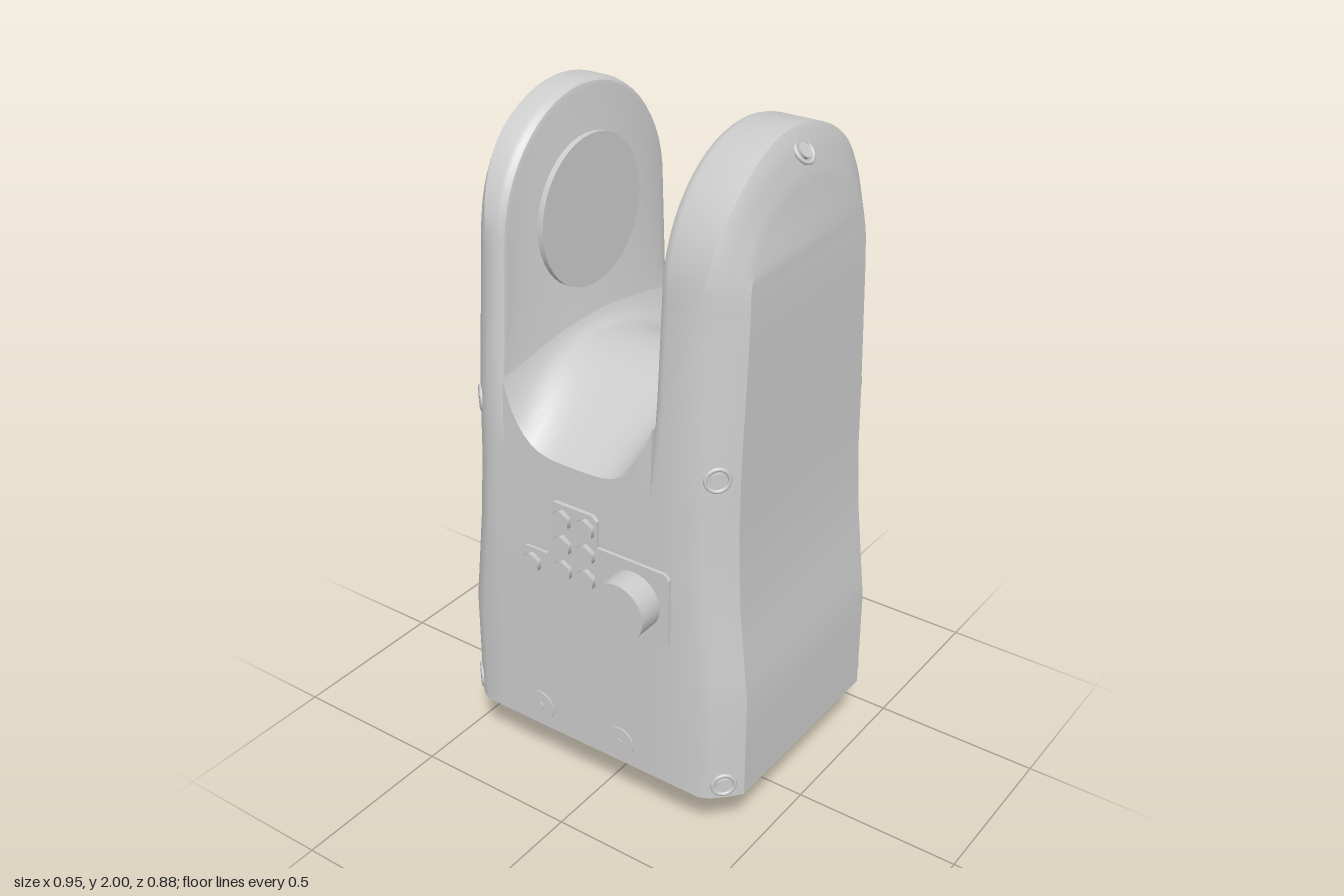
import * as THREE from 'three';
import { toCreasedNormals } from 'three/addons/utils/BufferGeometryUtils.js';

const MAT = new THREE.MeshStandardMaterial({ color: 0xcccccc, side: THREE.DoubleSide });
const ZC = -0.04, BASE = 0.185, SPRING = 1.63;
const { lerp, smoothstep, clamp } = THREE.MathUtils;

// Piecewise-linear lookup in [key, value] pairs
function sample(table, k) {
  for (let i = 1; i < table.length; i++) {
    const [a, va] = table[i - 1], [b, vb] = table[i];
    if (k <= b) return lerp(va, vb, clamp((k - a) / (b - a), 0, 1));
  }
  return table[table.length - 1][1];
}

// Half width, and depth in front of and behind the centre line, by height
const WIDTH = [[0.18, 0.475], [0.5, 0.475], [0.6, 0.464], [0.8, 0.442], [1, 0.431], [1.6, 0.425], [1.8, 0.413], [2, 0.405]];
const FRONT = [[0.18, 0.4], [0.8, 0.395], [1.2, 0.385], [1.63, 0.352]];
const BACK = [[0.18, 0.4], [0.8, 0.397], [1.2, 0.39], [1.63, 0.373]];
const LOWER = [BASE, 0.22, 0.35, 0.5, 0.56, 0.62, 0.7, 0.8, 0.9, 1, 1.08];
const RISE = 6, ARCH = 14, UPPER = RISE + ARCH;

// Slot between the arms
const SLOT_X = -0.035, SLOT_H = 0.245;

// One front or back half of a section, from the underside to the crown
function halfSection(dir, inset, xAt, slot, upperOnly) {
  const depth = dir > 0 ? FRONT : BACK, pts = [];
  const ins = y => upperOnly ? inset * smoothstep(y, 1.08, 1.35) : inset;
  const add = (y, d) => pts.push([xAt(y), y, ZC + dir * d]);
  add(BASE, sample(depth, BASE) - ins(BASE) - 0.08);
  LOWER.forEach((y, i) => {
    // Cable notch in the lower rear edge
    const x = xAt(y), notch = slot && dir < 0 && i < 2 && x > -0.27 && x < -0.1 ? 0.045 : 0;
    add(y + notch, sample(depth, y) - ins(y));
  });
  if (slot) {
    const q = Math.abs(xAt(1) - SLOT_X) / SLOT_H;
    const edge = 1.09 + 0.19 * q ** 4;
    const crest = 1.29 + 0.04 * Math.max(0, (q - 0.85) / 0.15) ** 2;
    const f = sample(FRONT, edge), b = -sample(BACK, edge);
    for (let j = 0; j < UPPER; j++) {
      const u = j / (2 * UPPER - 1);
      add(lerp(edge, crest, Math.sin(Math.PI * u)), dir * lerp(f, b, dir > 0 ? u : 1 - u));
    }
  } else {
    for (let j = 1; j <= RISE; j++) {
      const y = lerp(1.08, SPRING, j / RISE);
      add(y, sample(depth, y) - ins(y));
    }
    const topInset = inset * (upperOnly ? 1 : 1.6);
    for (let j = 1; j <= ARCH; j++) {
      const a = (j / ARCH) * 1.54;
      add(SPRING + (0.37 - topInset) * Math.sin(a), (sample(depth, SPRING) - inset) * Math.cos(a));
    }
  }
  return pts;
}

function section(inset, xAt, slot = false, upperOnly = false) {
  return [...halfSection(1, inset, xAt, slot, upperOnly), ...halfSection(-1, inset, xAt, slot, upperOnly).reverse()];
}

// Forked housing: side-profile sections lofted from one flank to the other
function housingGeometry() {
  const arm = (s, innerX) => [
    ...[[0, 0.085], [0.018, 0.062], [0.04, 0.038], [0.065, 0.015], [0.095, 0]].map(([off, inset]) =>
      section(inset, y => s * (sample(WIDTH, y) - off * (1 - 0.6 * smoothstep(y, 1.55, 1.95))))),
    ...[[0.028, 0], [0.014, 0.004], [0.004, 0.012], [0, 0.025]].map(([off, inset]) =>
      section(inset, () => innerX + s * off, false, true)),
  ];
  const slots = [];
  for (let k = 0; k <= 24; k++) {
    const x = SLOT_X - SLOT_H * Math.cos(Math.PI * k / 24);
    slots.push(section(0, () => x, true));
  }
  const rings = [...arm(-1, SLOT_X - SLOT_H), ...slots, ...arm(1, SLOT_X + SLOT_H).reverse()];
  const n = rings[0].length, last = (rings.length - 1) * n, index = [];
  for (let j = 0; j < rings.length - 1; j++) {
    for (let i = 0; i < n; i++) {
      const a = j * n + i, d = j * n + (i + 1) % n, b = a + n, c = d + n;
      index.push(a, b, c, a, c, d);
    }
  }
  // Flat flanks
  for (let i = 1; i < n / 2 - 1; i++) {
    const f = i, g = i + 1, b = n - 1 - i, c = n - 2 - i;
    index.push(f, g, c, f, c, b);
    index.push(last + f, last + c, last + g, last + f, last + b, last + c);
  }
  const geo = new THREE.BufferGeometry();
  geo.setAttribute('position', new THREE.Float32BufferAttribute(rings.flat(2), 3));
  geo.setIndex(index);
  return toCreasedNormals(geo, 0.55);
}

export function createModel() {
  const model = new THREE.Group();
  const add = (name, geo, x = 0, y = 0, z = 0, parent = model) => {
    const m = new THREE.Mesh(geo, MAT);
    m.name = name;
    m.position.set(x, y, z);
    parent.add(m);
    return m;
  };
  // Cylinders lying along x or z
  const discX = (r, x0, x1) => new THREE.CylinderGeometry(r, r, x1 - x0, 40).rotateZ(Math.PI / 2).translate((x0 + x1) / 2, 0, 0);
  const discZ = (r, z0, z1, sides = 32) => new THREE.CylinderGeometry(r, r, z1 - z0, sides).rotateX(Math.PI / 2).translate(0, 0, (z0 + z1) / 2);

  add('housing', housingGeometry());

  // Base pivot and flange
  add('basePivot', new THREE.CylinderGeometry(0.195, 0.195, 0.19, 40), -0.035, 0.095, ZC);
  add('baseFlange', new THREE.CylinderGeometry(0.32, 0.31, 0.02, 48), -0.035, 0.178, ZC);
  add('baseFlangeStep', new THREE.CylinderGeometry(0.29, 0.28, 0.012, 48), -0.035, 0.165, ZC);

  // Pivot pads on the inner faces of the arms
  add('rightArmPad', discX(0.215, -0.3, -0.263), 0, 1.64, -0.045);
  add('leftArmPad', discX(0.255, 0.195, 0.23), 0, 1.64, -0.045);
  add('armAxle', discX(0.117, 0.12, 0.22), 0, 1.64, -0.045);

  // Control panel
  const outline = new THREE.Shape([[-0.22, 0.73], [-0.205, 0.715], [0.045, 0.715], [0.045, 0.66], [0.06, 0.645], [0.265, 0.645],
    [0.28, 0.66], [0.28, 0.865], [0.265, 0.88], [0.045, 0.88], [0.045, 0.96], [0.03, 0.975], [-0.1, 0.975],
    [-0.115, 0.96], [-0.115, 0.815], [-0.13, 0.8], [-0.205, 0.8], [-0.22, 0.785]].map(p => new THREE.Vector2(...p)));
  add('controlPanel', new THREE.ExtrudeGeometry(outline, { depth: 0.025, bevelEnabled: false }), 0, 0, 0.338);
  const keys = [[-0.18, 0.755]];
  for (const y of [0.77, 0.85, 0.93]) keys.push([-0.07, y], [0.01, y]);
  keys.forEach(([x, y]) => add('hexButton', discZ(0.031, 0.345, 0.377, 6), x, y));
  add('controlKnob', discZ(0.086, 0.345, 0.44), 0.165, 0.765);

  // Flush plugs low on the front
  for (const x of [-0.175, 0.11]) {
    add('frontPlug', discZ(0.047, 0.345, 0.363), x, 0.255);
    add('frontPlugPin', discZ(0.012, 0.35, 0.366, 16), x, 0.255);
  }

  // Screws on the chamfers and rear latch tabs, mirrored
  const screws = [
    [0.389, 1.18, 0.306, 1, 0, 1], [0.389, 1.18, -0.391, 1, 0, -1],
    [0.436, 0.23, 0.32, 1, 0, 1], [0.436, 0.23, -0.4, 1, 0, -1],
    [0.394, 1.943, ZC, 0.8, 0.6, 0],
  ];
  for (const s of [-1, 1]) {
    for (const [x, y, z, nx, ny, nz] of screws) {
      const screw = new THREE.Group();
      screw.name = 'screw';
      screw.position.set(s * x, y, z);
      screw.quaternion.setFromUnitVectors(new THREE.Vector3(0, 0, 1), new THREE.Vector3(s * nx, ny, nz).normalize());
      add('screwRim', new THREE.TorusGeometry(0.032, 0.006, 8, 24), 0, 0, 0, screw);
      add('screwHead', discZ(0.021, -0.02, 0.006, 20), 0, 0, 0, screw);
      model.add(screw);
    }
    add('rearTab', new THREE.CapsuleGeometry(0.02, 0.085, 6, 14), s * 0.335, 1.6, -0.412);
  }
  return model;
}
